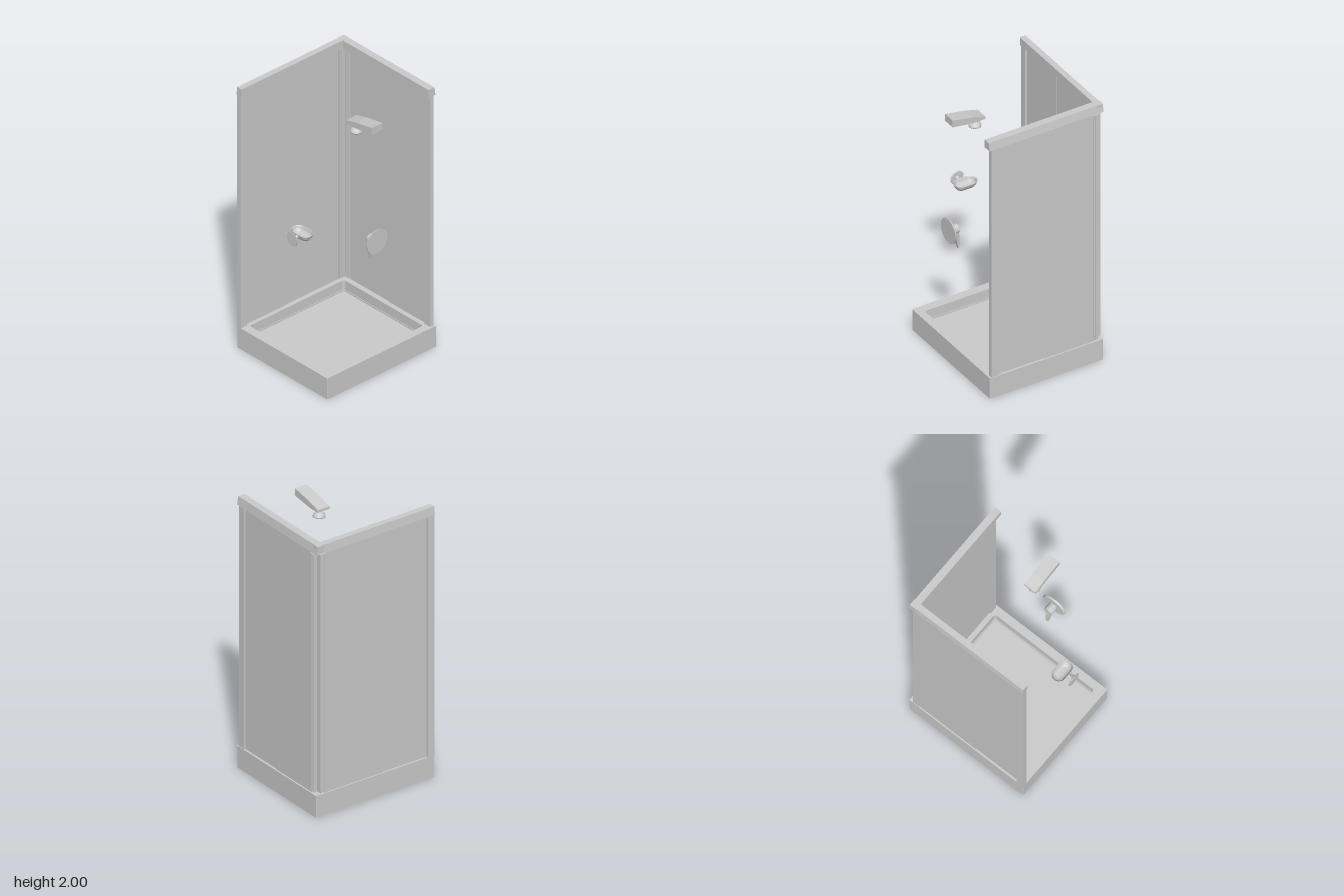
import * as THREE from 'three';
import { ParametricGeometry } from 'three/addons/geometries/ParametricGeometry.js';

const grey = new THREE.MeshStandardMaterial({ color: 0xcccccc });

function add(parent, name, geometry, x = 0, y = 0, z = 0) {
  const mesh = new THREE.Mesh(geometry, grey);
  mesh.name = name;
  mesh.position.set(x, y, z);
  parent.add(mesh);
  return mesh;
}

function group(parent, name) {
  const g = new THREE.Group();
  g.name = name;
  parent.add(g);
  return g;
}

function lathe(points, segments = 32) {
  return new THREE.LatheGeometry(points.map(([r, y]) => new THREE.Vector2(r, y)), segments);
}

function roundedRect(path, x0, x1, y0, y1, r) {
  path.moveTo(x0 + r, y0);
  path.lineTo(x1 - r, y0);
  path.absarc(x1 - r, y0 + r, r, -Math.PI / 2, 0);
  path.lineTo(x1, y1 - r);
  path.absarc(x1 - r, y1 - r, r, 0, Math.PI / 2);
  path.lineTo(x0 + r, y1);
  path.absarc(x0 + r, y1 - r, r, Math.PI / 2, Math.PI);
  path.lineTo(x0, y0 + r);
  path.absarc(x0 + r, y0 + r, r, Math.PI, Math.PI * 1.5);
  return path;
}

// Tray: rim with a rounded opening, stepped cove and sunken floor
function buildTray(root) {
  const tray = group(root, 'showerTray');
  const layer = (name, x0, x1, z0, z1, bottom, top) => {
    const shape = roundedRect(new THREE.Shape(), -0.435, 0.435, -0.478, 0.478, 0.004);
    shape.holes.push(roundedRect(new THREE.Path(), x0, x1, -z1, -z0, 0.018));
    const geo = new THREE.ExtrudeGeometry(shape, { depth: top - bottom, bevelEnabled: false, curveSegments: 6 });
    geo.rotateX(-Math.PI / 2);
    add(tray, name, geo, 0, bottom, 0);
  };
  layer('trayRim', -0.385, 0.378, -0.42, 0.414, 0.09, 0.16);
  layer('trayCove', -0.38, 0.373, -0.415, 0.409, 0, 0.09);
  add(tray, 'trayFloor', new THREE.BoxGeometry(0.8, 0.08, 0.86), 0, 0.04, 0);
}

// One glazed wall; s runs along the wall, d across it (negative d is outside)
function buildWall(root, name, alongX, o) {
  const wall = group(root, name);
  const box = (part, s0, s1, y0, y1, d0, d1) => {
    const s = s1 - s0, d = d1 - d0, sm = (s0 + s1) / 2, dm = (d0 + d1) / 2;
    return add(wall, part, new THREE.BoxGeometry(alongX ? s : d, y1 - y0, alongX ? d : s),
      alongX ? sm : dm, (y0 + y1) / 2, alongX ? dm : sm);
  };
  const { out, inn, near, far, seam } = o;
  const mid = (out + inn) / 2;

  // End post and corner channel
  box('endPost', far[0], far[1], 0.16, 1.94, out, inn);
  box('cornerChannelCore', near[0] + 0.006, near[1] - 0.006, 0.17, 1.93, out + 0.004, inn - 0.004);
  for (const s of [near[0], (near[0] + near[1]) / 2 - 0.004, near[1] - 0.008])
    box('cornerChannelFin', s, s + 0.008, 0.17, 1.93, out, inn);

  // Two slightly staggered panels
  box('cornerPanel', near[1] - 0.004, seam, 0.16, 1.94, mid - 0.008, mid);
  box('endPanel', seam - 0.004, far[0] + 0.004, 0.16, 1.94, mid - 0.003, mid + 0.005);

  // Small fixing studs beside the seam
  for (const y of [0.2, 1.9]) box('fixingStud', seam - 0.04, seam - 0.03, y - 0.005, y + 0.005, mid - 0.011, mid - 0.005);

  // Top rail with its outer upper edge leaning inwards
  const rail = box('topRail', o.rail[0], o.rail[1], 1.94, 2, o.rail[2], o.rail[3]);
  const p = rail.geometry.attributes.position;
  for (let i = 0; i < p.count; i++) {
    const d = alongX ? p.getZ(i) : p.getX(i);
    if (p.getY(i) > 0 && d < 0) alongX ? p.setZ(i, d + 0.009) : p.setX(i, d + 0.006);
  }
  rail.geometry.computeVertexNormals();
}

// Shower head on its wedge-shaped arm
function buildShowerHead(root) {
  const shower = group(root, 'showerHead');
  const profile = [[0.18, 1.841], [0.27, 1.841], [0.43, 1.863], [0.43, 1.916], [0.275, 1.888], [0.18, 1.861]];
  const shape = new THREE.Shape(profile.map(([x, y]) => new THREE.Vector2(x, y)));
  add(shower, 'showerArm', new THREE.ExtrudeGeometry(shape, { depth: 0.094, bevelEnabled: false }), 0, 0, -0.013);
  add(shower, 'sprayHead', lathe([[0, 0], [0.042, 0], [0.042, 0.004], [0.042, 0.004], [0.038, 0.016],
    [0.028, 0.026], [0.016, 0.033], [0.012, 0.035], [0.012, 0.05], [0.019, 0.052], [0.019, 0.065]]), 0.23, 1.782, 0.035);
}

// Mixer tap: wall plate, body and tapering lever
function buildMixer(root) {
  const mixer = group(root, 'mixerTap');
  mixer.position.set(0.435, 1.025, 0.036);
  const plate = lathe([[0, 0], [0.09, 0], [0.09, 0], [0.09, 0.008], [0.084, 0.014], [0.084, 0.014], [0, 0.014]], 48);
  add(mixer, 'wallPlate', plate.rotateZ(Math.PI / 2));
  const body = lathe([[0.03, 0.01], [0.03, 0.01], [0.033, 0.06], [0.031, 0.07], [0.031, 0.07], [0, 0.074]]);
  add(mixer, 'mixerBody', body.rotateZ(Math.PI / 2));

  // Lever bends outwards and narrows towards its tip
  const lever = new THREE.BoxGeometry(1, 1, 1, 1, 8, 1);
  const p = lever.attributes.position;
  for (let i = 0; i < p.count; i++) {
    const t = 0.5 - p.getY(i);
    const x = -0.045 - 0.03 * Math.sqrt(t) + p.getX(i) * (0.036 - 0.028 * t);
    p.setXYZ(i, x, -0.01 - 0.145 * t, p.getZ(i) * (0.042 - 0.023 * t));
  }
  lever.computeVertexNormals();
  add(mixer, 'mixerLever', lever);
}

// Soap dish: stadium bowl on a stem with a round wall plate
function buildSoapDish(root) {
  const dish = group(root, 'soapDish');
  // [radius, height] of the rings, up the outside and down the inside
  const rings = [[0.001, 1.046], [0.018, 1.046], [0.032, 1.052], [0.044, 1.068], [0.05, 1.084], [0.052, 1.092],
    [0.049, 1.094], [0.046, 1.09], [0.04, 1.072], [0.03, 1.059], [0.016, 1.053], [0.001, 1.052]];
  const bowl = new ParametricGeometry((u, v, target) => {
    const [r, y] = rings[Math.round(v * (rings.length - 1))];
    const a = u * Math.PI * 2, c = Math.cos(a);
    const straight = 0.033 * Math.max(-1, Math.min(1, c * 6));
    target.set(straight + r * c, y, -r * Math.sin(a));
  }, 48, rings.length - 1);
  add(dish, 'bowl', bowl, 0.087, 0, 0.382);
  const mount = lathe([[0, 0], [0.05, 0], [0.05, 0], [0.05, 0.005], [0.046, 0.008], [0.046, 0.008], [0.016, 0.008],
    [0.016, 0.008], [0.011, 0.014], [0.007, 0.025], [0.007, 0.036], [0.014, 0.042], [0.014, 0.05], [0, 0.05]]);
  add(dish, 'wallMount', mount.rotateX(-Math.PI / 2), 0.092, 1.073, 0.478);
}

export function createModel() {
  const root = new THREE.Group();
  root.name = 'showerCabin';
  buildTray(root);
  buildWall(root, 'backWall', true, {
    out: -0.474, inn: -0.444, near: [-0.4, -0.365], far: [0.365, 0.42], seam: 0.015,
    rail: [-0.44, 0.437, -0.476, -0.416],
  });
  buildWall(root, 'sideWall', false, {
    out: -0.436, inn: -0.4, near: [-0.444, -0.4], far: [0.424, 0.478], seam: 0.07,
    rail: [-0.47, 0.478, -0.441, -0.392],
  });
  buildShowerHead(root);
  buildMixer(root);
  buildSoapDish(root);
  return root;
}
